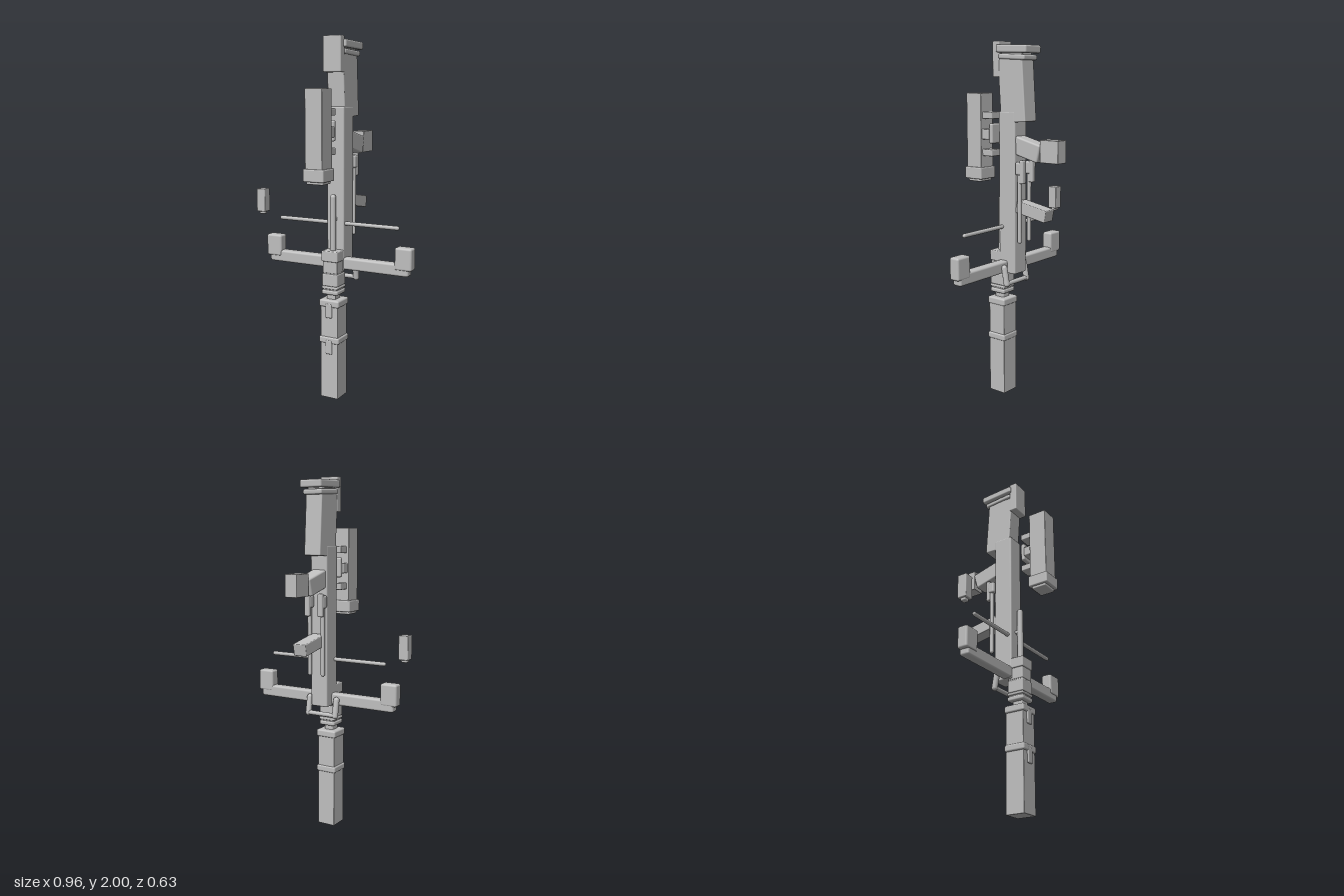
import * as THREE from 'three';
import { RoundedBoxGeometry } from 'three/addons/geometries/RoundedBoxGeometry.js';

export function createModel() {
  const model = new THREE.Group();
  const grey = new THREE.MeshStandardMaterial({ color: 0xbfbfbf });
  grey.name = 'plain grey';
  const C = 0.021; // centre line of the body in x

  // Softly bevelled box from its x, y and z ranges, optionally tilted about x
  function box(name, [x0, x1], [y0, y1], [z0, z1], tilt = 0, r = 0.006) {
    const w = x1 - x0, h = y1 - y0, d = z1 - z0;
    const geo = new RoundedBoxGeometry(w, h, d, 2, Math.min(r, w * 0.4, h * 0.4, d * 0.4));
    const mesh = new THREE.Mesh(geo, grey);
    mesh.name = name;
    mesh.position.set((x0 + x1) / 2, (y0 + y1) / 2, (z0 + z1) / 2);
    mesh.rotation.x = tilt;
    model.add(mesh);
    return mesh;
  }
  // Same, centred on the body line with a given width
  const mid = (name, w, y, z, tilt, r) => box(name, [C - w / 2, C + w / 2], y, z, tilt, r);

  // Round-ended rod between two points
  function rod(name, a, b, radius) {
    const p = new THREE.Vector3(...a), q = new THREE.Vector3(...b);
    const dir = q.clone().sub(p);
    const mesh = new THREE.Mesh(new THREE.CapsuleGeometry(radius, dir.length() - 2 * radius, 4, 12), grey);
    mesh.name = name;
    mesh.position.copy(p).add(q).multiplyScalar(0.5);
    mesh.quaternion.setFromUnitVectors(new THREE.Vector3(0, 1, 0), dir.normalize());
    model.add(mesh);
  }

  // Lower column with two collars and their tabs
  mid('lowerColumn', 0.108, [0, 0.56], [0.037, 0.147], 0, 0.003);
  for (const [y0, y1] of [[0.532, 0.573], [0.322, 0.36]]) {
    mid('columnCollar', 0.124, [y0, y1], [0.031, 0.154], 0, 0.01);
    mid('collarTab', 0.04, [y0 - 0.062, y0 + 0.02], [0.13, 0.156]);
  }

  // Stepped neck
  mid('neckPin', 0.055, [0.55, 0.62], [0.064, 0.125]);
  mid('neckRing', 0.1, [0.6, 0.627], [0.042, 0.144], 0, 0.01);
  mid('neckRing', 0.1, [0.632, 0.648], [0.042, 0.144], 0, 0.007);
  mid('neckCore', 0.086, [0.605, 0.83], [0.048, 0.138]);
  mid('neckBlock', 0.096, [0.648, 0.718], [0.045, 0.142]);
  mid('neckBlock', 0.09, [0.722, 0.79], [0.045, 0.14]);
  mid('neckCap', 0.1, [0.787, 0.847], [0.05, 0.145]);
  rod('frontRod', [C, 0.82, 0.099], [C, 1.157, 0.099], 0.017);
  mid('rodBracket', 0.022, [1.008, 1.03], [0.06, 0.092]);

  // Main body
  mid('mainBody', 0.104, [0.73, 1.63], [-0.04, 0.073], 0, 0.008);

  // Upper block with its end plates
  mid('upperBlock', 0.102, [1.572, 1.91], [-0.098, 0.069], 0.065, 0.006);
  mid('upperBlockNeck', 0.09, [1.88, 1.95], [-0.08, 0.06]);
  mid('lowerEndPlate', 0.118, [1.902, 1.931], [-0.108, 0.07], -0.05, 0.01);
  mid('endPlate', 0.136, [1.937, 1.979], [-0.126, 0.08], -0.03, 0.01);
  mid('frontPad', 0.108, [1.81, 2], [0.066, 0.114], 0, 0.007);

  // Floating sight box with mounts and knob
  mid('sightBox', 0.102, [1.3, 1.725], [0.202, 0.309], 0, 0.004);
  mid('sightBase', 0.124, [1.245, 1.312], [0.195, 0.317], 0, 0.007);
  mid('sightBaseLip', 0.1, [1.23, 1.26], [0.212, 0.3]);
  for (const y of [1.603, 1.396]) mid('sightMount', 0.076, [y - 0.019, y + 0.019], [0.134, 0.21]);
  mid('sightKnobStem', 0.086, [1.47, 1.527], [0.157, 0.21]);
  mid('sightKnob', 0.076, [1.448, 1.56], [0.132, 0.158], 0, 0.011);

  // Rear handles
  mid('rearHandle', 0.086, [1.384, 1.482], [-0.193, -0.003], -0.25, 0.01);
  mid('rearBlock', 0.074, [1.366, 1.487], [-0.315, -0.198], 0, 0.003);
  mid('lowerRearHandle', 0.08, [1.062, 1.129], [-0.237, -0.037], -0.18, 0.005);

  // Mirrored rear legs and the U-shaped frame
  for (const s of [-1, 1]) {
    const x = C + s * 0.042;
    rod('rearLeg', [x, 0.91, -0.066], [x, 1.34, -0.066], 0.012);
    box('legCap', [x - 0.018, x + 0.018], [1.29, 1.362], [-0.088, -0.044], 0, 0.012);
    box('legPlate', [x - 0.016, x + 0.016], [1.245, 1.372], [-0.1, -0.072], 0, 0.008);
    const f = C + s * 0.088;
    rod('framePost', [f, 0.785, 0.008], [f, 0.662, -0.014], 0.017);
  }
  rod('frameBar', [C - 0.1, 0.681, -0.012], [C + 0.1, 0.681, -0.012], 0.013);

  // Crossbar with raised ends
  mid('crossbar', 0.87, [0.735, 0.802], [0.014, 0.071], 0, 0.012);
  for (const s of [-1, 1]) {
    const x = C + s * 0.406;
    box('crossbarEnd', [x - 0.049, x + 0.049], [0.768, 0.892], [0.012, 0.075], 0, 0.012);
  }
  rod('thinCrossRod', [-0.352, 0.993, 0.05], [0.395, 0.993, 0.05], 0.0115);

  // Small floating box
  box('sideBox', [-0.483, -0.427], [1.025, 1.158], [0.044, 0.1], 0, 0.005);
  box('sideBoxLip', [-0.472, -0.438], [1.01, 1.04], [0.056, 0.088]);

  return model;
}
